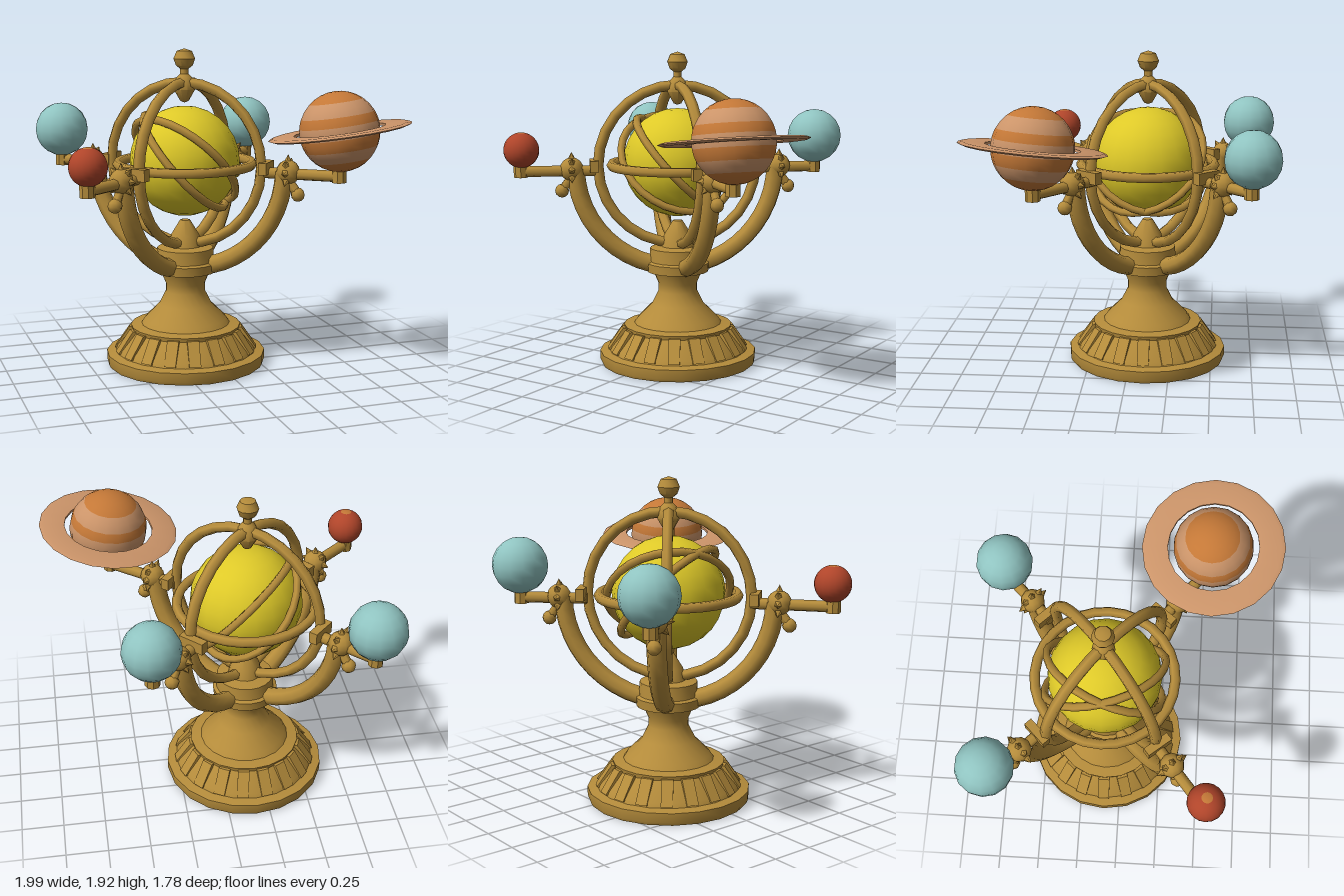
import * as THREE from 'three';
import { toCreasedNormals } from 'three/addons/utils/BufferGeometryUtils.js';

const material = (name, color) => {
  const m = new THREE.MeshStandardMaterial({ color });
  m.name = name;
  return m;
};

export function createModel() {
  const brass = material('brass', 0xb58c3b);
  const yellow = material('sun yellow', 0xdec928);
  const blue = material('pale blue', 0x90c4c1);
  const red = material('rust red', 0xb0452a);
  const orange = material('orange', 0xc47837);
  const tan = material('tan', 0xcb9469);

  const model = new THREE.Group();
  const stand = new THREE.Group();
  stand.name = 'stand';
  stand.position.set(-0.165, 0, -0.1);
  model.add(stand);

  const add = (parent, name, geometry, mat, x = 0, y = 0, z = 0) => {
    const mesh = new THREE.Mesh(geometry, mat);
    mesh.name = name;
    mesh.position.set(x, y, z);
    parent.add(mesh);
    return mesh;
  };
  const creased = (g, angle = 0.7) => toCreasedNormals(g, angle);
  const lathe = (points, sides) =>
    creased(new THREE.LatheGeometry(points.map(p => new THREE.Vector2(...p)), sides));

  // Pedestal, collar and the cone under the sun
  add(stand, 'pedestal', lathe([
    [0, 0], [0.475, 0], [0.485, 0.02], [0.485, 0.075], [0.43, 0.085], [0.42, 0.11],
    [0.33, 0.215], [0.335, 0.24], [0.27, 0.25], [0.25, 0.28], [0.16, 0.37], [0.12, 0.45],
    [0.12, 0.5], [0.15, 0.57], [0.19, 0.575], [0.195, 0.63], [0.175, 0.64],
    [0.17, 0.72], [0.1, 0.73], [0.085, 0.8], [0.03, 0.89], [0, 0.895]], 20), brass);

  // Raised ribs around the sloping foot
  const ribShape = new THREE.Shape([[0.40, 0.085], [0.435, 0.095], [0.345, 0.225], [0.31, 0.225]]
    .map(p => new THREE.Vector2(...p)));
  const ribGeometry = new THREE.ExtrudeGeometry(ribShape, { depth: 0.07, bevelEnabled: false });
  ribGeometry.translate(0, 0, -0.035);
  for (let i = 0; i < 18; i++) {
    add(stand, 'footRib', ribGeometry, brass).rotation.y = i * Math.PI / 9;
  }

  // Sun
  add(stand, 'sun', new THREE.SphereGeometry(0.33, 20, 14), yellow, 0, 1.25, 0);

  // Two upright rings crossing at the top and bottom
  const uprightRing = new THREE.TorusGeometry(0.485, 0.032, 6, 28);
  uprightRing.scale(1, 1, 1.05);
  for (const a of [40, 140]) {
    add(stand, 'uprightRing', uprightRing, brass, 0, 1.235, 0).rotation.y = -a * Math.PI / 180;
  }

  // Level ring
  const levelRing = new THREE.TorusGeometry(0.405, 0.03, 6, 28);
  levelRing.rotateX(Math.PI / 2);
  add(stand, 'levelRing', levelRing, brass, 0, 1.235, 0);

  // Two tilted rings close around the sun
  const s = Math.SQRT1_2;
  for (const t of [0.3, -0.38]) {
    const u = new THREE.Vector3(-s, s, 0);
    const v = new THREE.Vector3(s * Math.sin(t), s * Math.sin(t), Math.cos(t));
    const n = new THREE.Vector3().crossVectors(u, v);
    const ring = add(stand, 'tiltedRing', new THREE.TorusGeometry(0.362, 0.024, 6, 28), brass, 0, 1.25, 0);
    ring.quaternion.setFromRotationMatrix(new THREE.Matrix4().makeBasis(u, v, n));
  }

  // Top finial with its hanging point
  add(stand, 'finial', lathe([
    [0, 1.6], [0.025, 1.61], [0.065, 1.68], [0.06, 1.72], [0.045, 1.75], [0.025, 1.77],
    [0.025, 1.8], [0.05, 1.82], [0.064, 1.86], [0.045, 1.905], [0, 1.92]], 10), brass);

  // Four curved arms, each with a flower joint, bud, bar and planet holder
  const armCurve = new THREE.TorusGeometry(0.62, 0.055, 8, 12, Math.PI / 2);
  armCurve.rotateZ(-Math.PI / 2);
  const petal = new THREE.ConeGeometry(0.034, 0.06, 5);
  petal.translate(0, 0.075, 0);
  const buildArm = (degrees, reach) => {
    const arm = new THREE.Group();
    arm.name = 'planetArm';
    arm.rotation.y = -degrees * Math.PI / 180;
    stand.add(arm);
    add(arm, 'curvedArm', armCurve, brass, 0, 1.22, 0);
    add(arm, 'flowerJoint', new THREE.SphereGeometry(0.072, 10, 8), brass, 0.645, 1.215, 0);
    for (let i = 0; i < 8; i++) {
      add(arm, 'petal', petal, brass, 0.645, 1.215, 0).rotation.x = i * Math.PI / 4;
    }
    add(arm, 'bud', new THREE.SphereGeometry(0.042, 8, 6), brass, 0.705, 1.085, 0);
    const stem = add(arm, 'budStem', new THREE.CylinderGeometry(0.025, 0.03, 0.1, 6), brass, 0.675, 1.13, 0);
    stem.rotation.z = 0.6;
    const bar = new THREE.CylinderGeometry(0.033, 0.033, reach - 0.48, 8);
    bar.rotateZ(Math.PI / 2);
    add(arm, 'planetBar', bar, brass, (reach + 0.48) / 2, 1.205, 0);
    add(arm, 'ringClamp', new THREE.BoxGeometry(0.05, 0.07, 0.16), brass, 0.51, 1.235, 0);
    add(arm, 'planetHolder', creased(new THREE.CylinderGeometry(0.043, 0.043, 0.08, 8)),
      brass, reach, 1.21, 0);
    add(arm, 'planetPin', new THREE.CylinderGeometry(0.025, 0.035, 0.05, 8), brass, reach, 1.255, 0);
  };
  buildArm(38.5, 0.95);
  buildArm(140.8, 0.95);
  buildArm(-45, 0.87);
  buildArm(-135, 0.87);

  // Blue planets at the back
  for (const x of [-0.78, 0.45]) {
    add(model, 'bluePlanet', new THREE.SphereGeometry(0.165, 14, 10), blue, x, 1.395, -0.72);
  }

  // Planet made of coloured bands, given as [end angle, material]
  const banded = (name, radius, bands, x, y, z) => {
    const planet = new THREE.Group();
    planet.name = name;
    planet.position.set(x, y, z);
    let start = 0;
    for (const [end, mat] of bands) {
      const rad = Math.PI / 180;
      const rows = Math.max(1, Math.round((end - start) / 11));
      add(planet, name + 'Band', new THREE.SphereGeometry(radius, 18, rows, 0, Math.PI * 2,
        start * rad, (end - start) * rad), mat);
      start = end;
    }
    model.add(planet);
    return planet;
  };
  banded('redPlanet', 0.107, [[17, orange], [180, red]], -0.895, 1.335, 0.5);
  const ringed = banded('ringedPlanet', 0.232, [[42, orange], [66, tan], [80, orange], [98, tan],
    [116, orange], [136, tan], [180, orange]], 0.58, 1.465, 0.485);

  // Broad flat ring around the banded planet
  add(ringed, 'planetRing', lathe([
    [0.265, -0.008], [0.39, -0.01], [0.415, 0], [0.39, 0.01], [0.265, 0.008], [0.265, -0.008]], 20), tan);
  ringed.quaternion.setFromUnitVectors(new THREE.Vector3(0, 1, 0),
    new THREE.Vector3(-0.12, 1, -0.09).normalize());

  return model;
}
